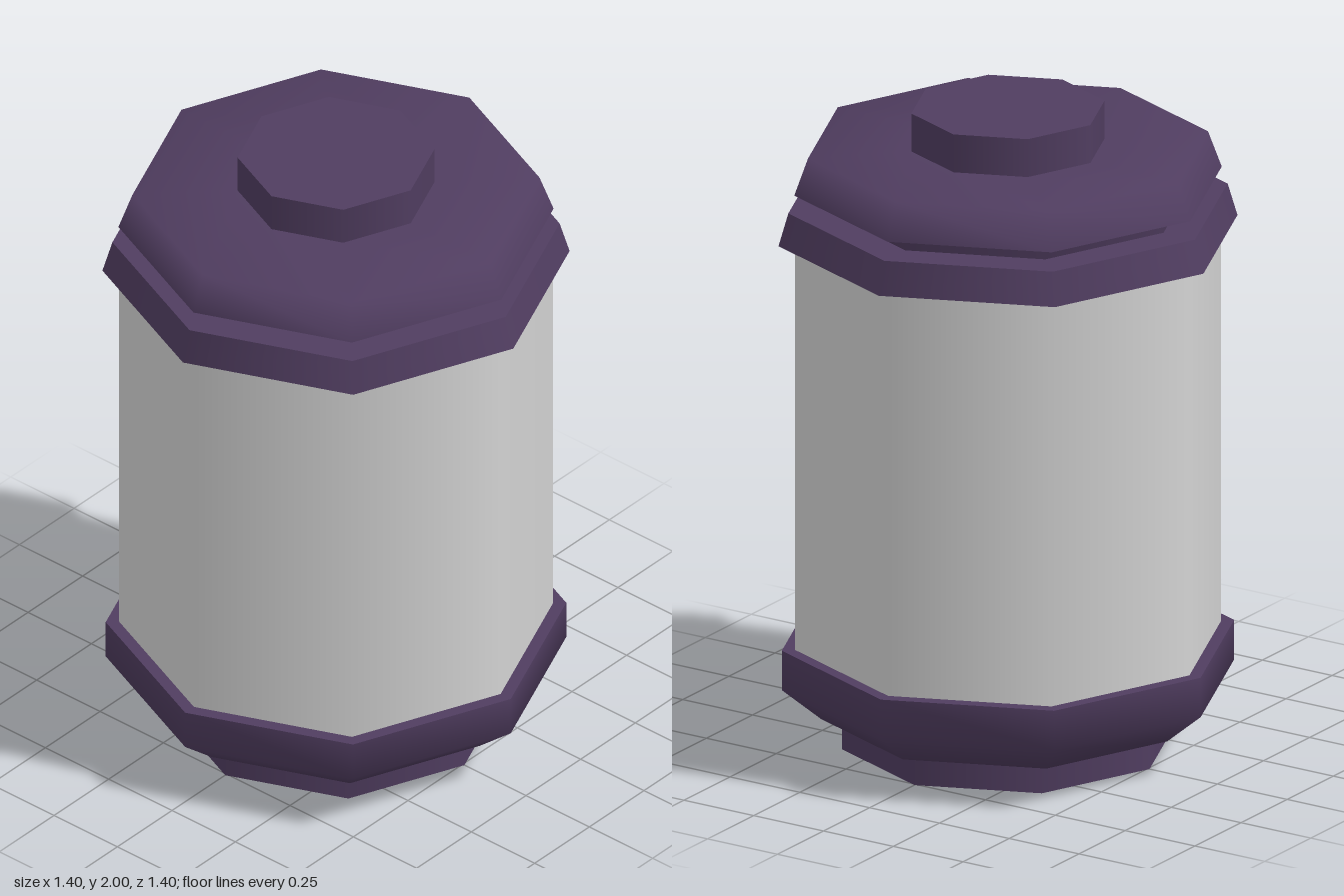
import * as THREE from 'three';

const SIDES = 8;

export function createModel() {
  const group = new THREE.Group();
  const purple = new THREE.MeshStandardMaterial({ color: 0x503d60 });
  purple.name = 'dark purple';
  const grey = new THREE.MeshStandardMaterial({ color: 0xd4d4d4 });
  grey.name = 'light grey';

  // Octagonal ring or solid turned from [radius, y] points, listed upwards
  const turned = (name, material, points) => {
    const profile = points.map(([r, y]) => new THREE.Vector2(r, y));
    const mesh = new THREE.Mesh(new THREE.LatheGeometry(profile, SIDES), material);
    mesh.name = name;
    group.add(mesh);
  };

  // Octagonal drum with flat ends and a smooth wall
  const drum = (name, material, bottomR, topR, y0, y1) => {
    const mesh = new THREE.Mesh(new THREE.CylinderGeometry(topR, bottomR, y1 - y0, SIDES), material);
    mesh.position.y = (y0 + y1) / 2;
    mesh.name = name;
    group.add(mesh);
  };

  // Foot and the bevelled band above it
  drum('foot', purple, 0.507, 0.507, 0, 0.1);
  turned('lowerBand', purple, [[0, 0.1], [0.57, 0.1], [0.69, 0.2], [0.69, 0.325]]);
  turned('lowerBandTop', purple, [[0.69, 0.325], [0, 0.325]]);

  // Main container wall
  drum('body', grey, 0.65, 0.65, 0.3, 1.62);

  // Collar, neck and overhanging lid
  drum('collar', purple, 0.7, 0.67, 1.608, 1.71);
  drum('neck', purple, 0.555, 0.57, 1.7, 1.77);
  turned('lidUnderside', purple, [[0, 1.765], [0.652, 1.765]]);
  turned('lid', purple, [[0.652, 1.765], [0.61, 1.88], [0.29, 1.88]]);

  // Knob
  drum('knob', purple, 0.295, 0.295, 1.87, 2);

  return group;
}
